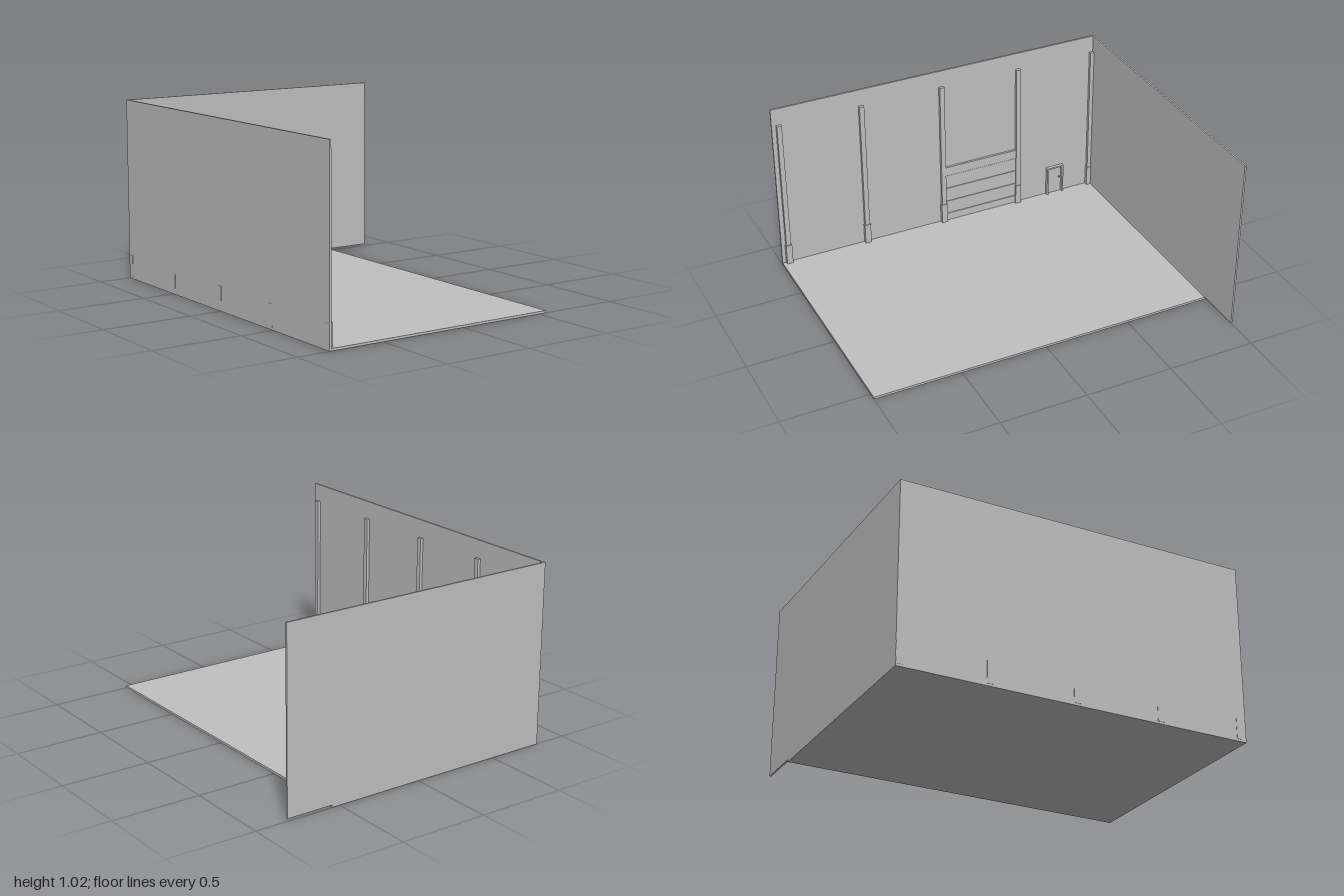
import * as THREE from 'three';

export function createModel() {
  const model = new THREE.Group();
  model.name = 'roomCorner';
  const grey = new THREE.MeshStandardMaterial({ color: 0xc0c0c0 });
  grey.name = 'plain grey';

  // Box given by its min and max on each axis
  const box = (parent, name, x0, x1, y0, y1, z0, z1) => {
    const mesh = new THREE.Mesh(new THREE.BoxGeometry(x1 - x0, y1 - y0, z1 - z0), grey);
    mesh.position.set((x0 + x1) / 2, (y0 + y1) / 2, (z0 + z1) / 2);
    mesh.name = name;
    parent.add(mesh);
    return mesh;
  };
  const group = (name) => {
    const g = new THREE.Group();
    g.name = name;
    model.add(g);
    return g;
  };

  // Floor slab and the two walls
  const floorTop = 0.013;
  box(model, 'floor', -0.815, 0.546, 0, floorTop, -1, 1);
  box(model, 'backWall', -0.815, 0.815, floorTop, 1.016, -1, -0.99);
  box(model, 'sideWall', -0.815, -0.804, floorTop, 1.016, -0.99, 1);

  // Pillars with wider plinths along the side wall
  for (const z of [0.961, 0.477, -0.012, -0.497, -0.981]) {
    const pillar = group('pillar');
    box(pillar, 'pillarShaft', -0.81, -0.786, 0.135, 0.915, z - 0.014, z + 0.014);
    box(pillar, 'pillarBase', -0.8165, -0.782, floorTop, 0.135, z - 0.018, z + 0.018);
  }

  // Slatted roller door between two pillars
  const roller = group('rollerDoor');
  const z0 = -0.484, z1 = -0.025;
  box(roller, 'rollerBacking', -0.81, -0.798, floorTop, 0.33, z0, z1);
  box(roller, 'rollerLintel', -0.81, -0.791, 0.325, 0.38, z0, z1);
  const seams = [floorTop, 0.065, 0.15, 0.239, 0.325];
  for (let i = 0; i < 4; i++) {
    box(roller, 'slat', -0.81, -0.794, seams[i] + 0.003, seams[i + 1] - 0.003, z0, z1);
  }

  // Small door with a projecting frame and a knob
  const door = group('smallDoor');
  box(door, 'doorPanel', -0.81, -0.801, floorTop, 0.188, -0.79, -0.705);
  box(door, 'frameTop', -0.81, -0.784, 0.186, 0.195, -0.802, -0.693);
  for (const z of [-0.802, -0.702]) {
    box(door, 'frameSide', -0.81, -0.784, floorTop, 0.186, z, z + 0.009);
  }
  box(door, 'doorKnob', -0.802, -0.793, 0.11, 0.118, -0.784, -0.776);

  return model;
}
